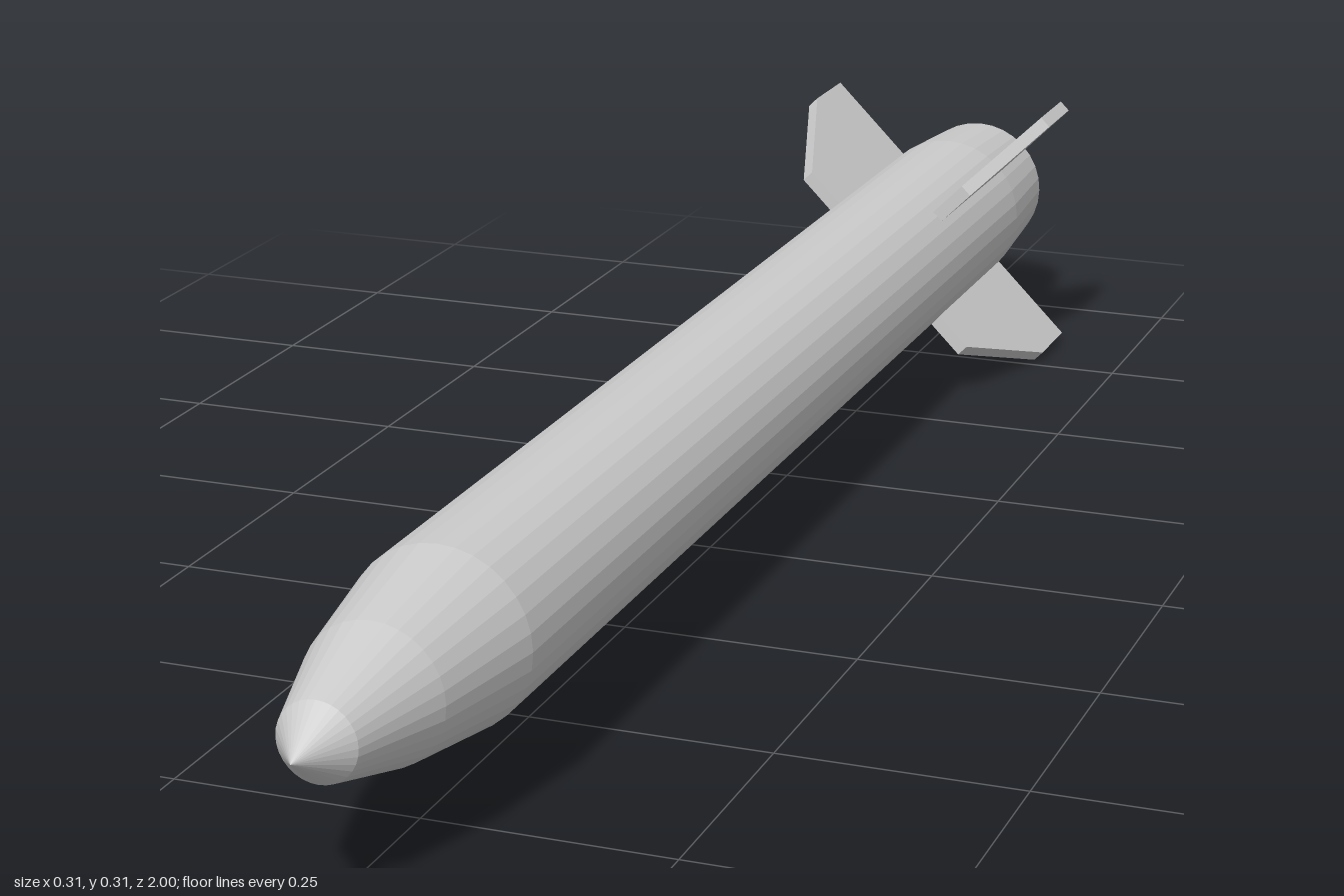
import * as THREE from 'three';

const AXIS_Y = 0.156;
const FIN_THICKNESS = 0.015;

export function createModel() {
  const model = new THREE.Group();
  model.name = 'missile';
  const material = new THREE.MeshStandardMaterial({ color: 0xcccccc, flatShading: true });

  // Body: one lathe from the nozzle floor, around the rim, to the nose tip (radius, z)
  const profile = [
    [0, -0.94], [0.066, -0.94], [0.066, -1], [0.082, -1],
    [0.092, -0.86], [0.092, 0.70], [0.07, 0.84], [0.039, 0.95], [0, 1],
  ].map(([r, z]) => new THREE.Vector2(r, z));
  const body = new THREE.Mesh(new THREE.LatheGeometry(profile, 32).rotateX(Math.PI / 2), material);
  body.name = 'body';
  body.position.y = AXIS_Y;
  model.add(body);

  // Tail fins: clipped outline (radius, z), repeated four times on the diagonals
  const outline = new THREE.Shape([
    [0.08, -0.605], [0.141, -0.605], [0.212, -0.77], [0.212, -0.86], [0.08, -0.86],
  ].map(([r, z]) => new THREE.Vector2(r, z)));
  const finGeometry = new THREE.ExtrudeGeometry(outline, { depth: FIN_THICKNESS, bevelEnabled: false })
    .translate(0, 0, -FIN_THICKNESS / 2)
    .rotateX(Math.PI / 2);

  const fins = new THREE.Group();
  fins.name = 'tailFins';
  fins.position.y = AXIS_Y;
  for (let i = 0; i < 4; i++) {
    const fin = new THREE.Mesh(finGeometry, material);
    fin.name = `tailFin${i + 1}`;
    fin.rotation.z = Math.PI / 4 + (i * Math.PI) / 2;
    fins.add(fin);
  }
  model.add(fins);

  return model;
}
